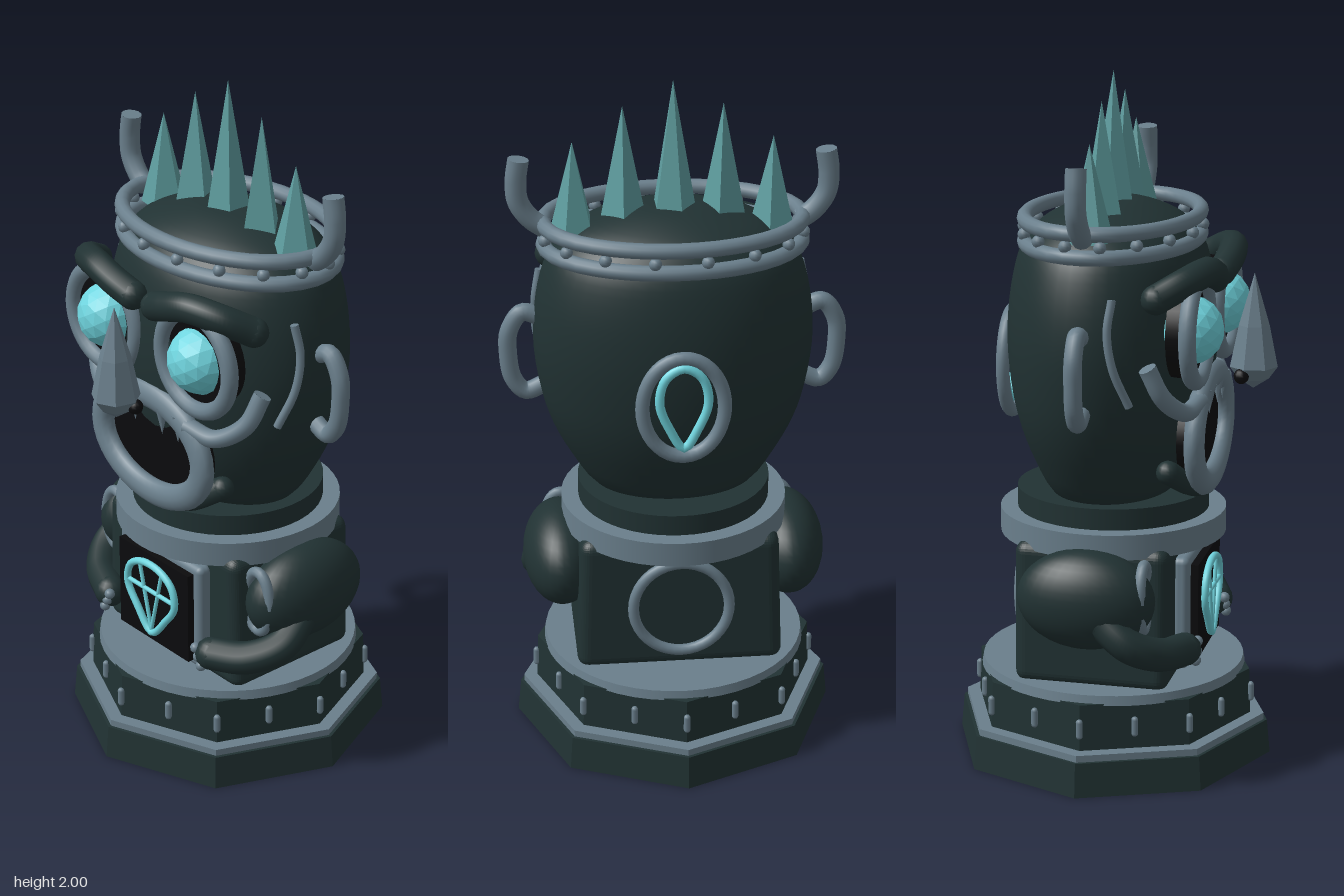
import * as THREE from 'three';
import { RoundedBoxGeometry } from 'three/addons/geometries/RoundedBoxGeometry.js';

const material = (name, color, extra = {}) => Object.assign(new THREE.MeshStandardMaterial({ color, ...extra }), { name });
const V = (p) => new THREE.Vector3(...p);

export function createModel() {
  const root = new THREE.Group();
  root.name = 'totemStatue';
  const dark = material('dark stone', 0x213233);
  const metal = material('slate metal', 0x6a7f8c);
  const glow = material('cyan glow', 0x6fd4de);
  const crystal = material('teal crystal', 0x5f9ea0);
  const black = material('black', 0x0b0b0d);

  const add = (name, geo, mat, pos = [0, 0, 0], parent = root) => {
    const mesh = new THREE.Mesh(geo, mat);
    mesh.name = name;
    mesh.position.set(...pos);
    parent.add(mesh);
    return mesh;
  };
  // Faceted geometry with one normal per face
  const facet = (geo) => {
    const g = geo.index ? geo.toNonIndexed() : geo;
    g.computeVertexNormals();
    return g;
  };
  // Round tube through points; open ends are capped by discs
  const tube = (name, pts, r, mat, { closed = false, round = false } = {}) => {
    const group = new THREE.Group();
    group.name = name;
    const curve = new THREE.CatmullRomCurve3(pts.map(V), closed);
    add(name + 'Body', new THREE.TubeGeometry(curve, 40, r, 12, closed), mat, [0, 0, 0], group);
    if (!closed) for (const t of [0, 1]) {
      const p = curve.getPointAt(t);
      if (round) add(name + 'End', new THREE.SphereGeometry(r, 16, 10), mat, p.toArray(), group);
      else {
        const cap = add(name + 'Cap', new THREE.CircleGeometry(r, 12), mat, p.toArray(), group);
        const dir = curve.getTangentAt(t).multiplyScalar(t ? 1 : -1);
        cap.quaternion.setFromUnitVectors(new THREE.Vector3(0, 0, 1), dir);
      }
    }
    root.add(group);
    return group;
  };
  // Elliptical ring in the XY plane, with a round section
  const ring = (name, c, rx, ry, r, mat) => {
    const pts = [];
    for (let i = 0; i < 20; i++) {
      const a = i / 20 * Math.PI * 2;
      pts.push([c[0] + rx * Math.cos(a), c[1] + ry * Math.sin(a), c[2]]);
    }
    return tube(name, pts, r, mat, { closed: true });
  };

  // Stepped octagonal pedestal with a round top trim
  const tier = (name, rTop, rBottom, y0, y1, mat, sides = 8) =>
    add(name, sides < 12 ? facet(new THREE.CylinderGeometry(rTop, rBottom, y1 - y0, sides)) :
      new THREE.CylinderGeometry(rTop, rBottom, y1 - y0, sides), mat, [0, (y0 + y1) / 2, 0]);
  tier('baseLower', 0.465, 0.475, 0, 0.1, dark);
  tier('baseLowerTrim', 0.455, 0.455, 0.1, 0.12, metal);
  tier('baseUpper', 0.41, 0.415, 0.12, 0.255, dark);
  tier('baseTopTrim', 0.385, 0.39, 0.25, 0.278, metal, 48);
  for (let i = 0; i < 16; i++) {
    const a = i / 16 * Math.PI * 2;
    const r = i % 2 ? 0.385 : 0.415;
    add('baseStud', new THREE.CapsuleGeometry(0.01, 0.04, 4, 8), metal, [Math.sin(a) * r, 0.185, Math.cos(a) * r]);
  }

  // Torso, widening a little at the bottom
  const torso = new RoundedBoxGeometry(0.58, 0.42, 0.45, 4, 0.035);
  const tp = torso.attributes.position;
  for (let i = 0; i < tp.count; i++) {
    const k = 1.02 - tp.getY(i) * 0.12;
    tp.setX(i, tp.getX(i) * k);
  }
  torso.computeVertexNormals();
  add('torso', torso, dark, [0, 0.475, 0]);
  tier('collar', 0.33, 0.33, 0.662, 0.735, metal, 48);
  tier('neck', 0.28, 0.28, 0.73, 0.797, dark, 48);

  // Chest panel with a glowing shield ornament
  add('chestFrame', new RoundedBoxGeometry(0.37, 0.335, 0.05, 3, 0.02), metal, [0, 0.47, 0.24]);
  add('chestScreen', new THREE.BoxGeometry(0.315, 0.285, 0.03), black, [0, 0.47, 0.272]);
  const z = 0.297;
  tube('shieldOutline', [[0, 0.36, z], [0.065, 0.425, z], [0.108, 0.49, z], [0.095, 0.55, z], [0.05, 0.58, z], [0, 0.588, z],
    [-0.05, 0.58, z], [-0.095, 0.55, z], [-0.108, 0.49, z], [-0.065, 0.425, z]], 0.011, glow, { closed: true });
  tube('shieldBar', [[-0.1, 0.5, z], [0.1, 0.5, z]], 0.007, glow);
  for (const s of [-1, 1]) tube('shieldRib', [[s * 0.05, 0.575, z], [0, 0.37, z]], 0.006, glow);
  ring('torsoBackRing', [0, 0.48, -0.25], 0.14, 0.145, 0.016, metal);

  // Egg-shaped head, shallower from front to back
  const profile = [[0, 0.76], [0.4, 0.77], [0.6, 0.8], [0.77, 0.9], [0.89, 1.0], [0.96, 1.1], [1, 1.23], [0.985, 1.35],
    [0.93, 1.45], [0.85, 1.52], [0.7, 1.575], [0.5, 1.61], [0.25, 1.635], [0, 1.64]];
  const spline = new THREE.SplineCurve(profile.map(([r, y]) => new THREE.Vector2(r * 0.4, y)));
  const headPts = spline.getPoints(40);
  headPts.forEach((p) => { p.x = Math.max(0, p.x); });
  const head = new THREE.LatheGeometry(headPts, 48);
  head.scale(1, 1, 0.74);
  add('head', head, dark);

  // Crown: two rings, beads between them, and five crystal spikes
  for (const y of [1.53, 1.595]) {
    const r = ring('crownRing', [0, 0, 0], 0.365, 0.243, 0.022, metal);
    r.rotation.x = Math.PI / 2;
    r.position.y = y;
  }
  for (let i = 0; i < 16; i++) {
    const a = (i + 0.5) / 16 * Math.PI * 2;
    add('crownBead', new THREE.SphereGeometry(0.018, 10, 8), metal, [Math.cos(a) * 0.37, 1.56, Math.sin(a) * 0.25]);
  }
  const tips = [1.83, 1.93, 2.0, 1.93, 1.83];
  tips.forEach((tip, i) => {
    const base = 1.6 - Math.abs(i - 2) * 0.02;
    const spike = add('crownSpike', facet(new THREE.ConeGeometry(0.068, tip - base, i % 2 ? 4 : 5)), crystal,
      [(i - 2) * 0.14, (tip + base) / 2, 0]);
    spike.rotation.y = 0.4 + i * 0.9;
  });

  // Nose: faceted cone with a blunt point below
  add('nose', facet(new THREE.LatheGeometry([[0, 1.105], [0.045, 1.135], [0.07, 1.17], [0.045, 1.29], [0, 1.44]]
    .map((p) => new THREE.Vector2(...p)), 7)), metal, [0, 0, 0.41]);

  // Mouth: dark opening, thick lip, teeth and chin roll
  const mouth = new THREE.CylinderGeometry(1, 1, 1, 40);
  mouth.rotateX(Math.PI / 2);
  mouth.scale(0.215, 0.155, 0.04);
  add('mouthOpening', mouth, black, [0, 0.98, 0.252]);
  const lip = ring('lips', [0, 0, 0], 0.222, 0.152, 0.04, metal);
  lip.scale.z = 0.75;
  lip.position.set(0, 0.983, 0.285);
  for (const x of [-0.13, -0.06, 0.06, 0.13]) {
    const tooth = add('tooth', new THREE.ConeGeometry(0.02, 0.085, 8), metal, [x, 1.08, 0.295]);
    tooth.rotation.x = Math.PI;
  }
  tube('chinRoll', [[-0.22, 0.9, 0.21], [-0.13, 0.845, 0.26], [0, 0.825, 0.275], [0.13, 0.845, 0.26], [0.22, 0.9, 0.21]],
    0.034, dark, { round: true });

  // Ornament on the back of the head
  ring('backRing', [0, 1.15, -0.3], 0.115, 0.15, 0.02, metal);
  const b = -0.312;
  tube('backTeardrop', [[0, 1.03, b], [0.04, 1.09, b], [0.068, 1.17, b], [0.05, 1.245, b], [0, 1.275, b],
    [-0.05, 1.245, b], [-0.068, 1.17, b], [-0.04, 1.09, b]], 0.013, glow, { closed: true });

  // Mirrored parts
  for (const s of [-1, 1]) {
    const m = (pts) => pts.map(([x, y, zz]) => [s * x, y, zz]);

    // Eyes with goggle rims and heavy brows
    const socket = add('eyeSocket', new THREE.CylinderGeometry(0.135, 0.135, 0.06, 32), black, [s * 0.2, 1.31, 0.255]);
    socket.rotation.x = Math.PI / 2;
    ring('eyeRim', [s * 0.2, 1.31, 0.288], 0.143, 0.143, 0.025, metal);
    add('eye', facet(new THREE.IcosahedronGeometry(0.098, 2)), glow, [s * 0.2, 1.31, 0.265]);
    tube('brow', m([[0.34, 1.42, 0.2], [0.29, 1.46, 0.27], [0.2, 1.475, 0.31], [0.12, 1.455, 0.315], [0.05, 1.43, 0.305]]),
      0.042, dark, { round: true });
    add('nostril', new THREE.SphereGeometry(0.022, 12, 8), black, [s * 0.055, 1.15, 0.385]);

    // Cheek tubes and temple seams
    tube('cheekTube', m([[0.355, 1.23, 0.18], [0.33, 1.14, 0.22], [0.25, 1.085, 0.265], [0.16, 1.1, 0.29]]), 0.026, metal);
    tube('templeSeam', m([[0.375, 1.42, 0.085], [0.39, 1.33, 0.075], [0.388, 1.23, 0.09], [0.36, 1.12, 0.13]]), 0.012, metal);

    // Ear loops and crown horns
    tube('ear', m([[0.38, 1.31, 0], [0.43, 1.325, 0], [0.468, 1.27, 0], [0.473, 1.2, 0], [0.46, 1.12, 0], [0.425, 1.08, 0],
      [0.37, 1.1, 0]]), 0.026, metal);
    tube('crownHorn', m([[0.36, 1.58, 0], [0.4, 1.61, 0], [0.432, 1.66, 0], [0.437, 1.72, 0], [0.428, 1.785, 0]]), 0.03, metal);

    // Shoulders, forearms resting beside the panel, and knuckles
    const shoulder = new THREE.SphereGeometry(1, 32, 20);
    shoulder.scale(0.112, 0.145, 0.2);
    add('upperArm', shoulder, dark, [s * 0.335, 0.548, 0]);
    ring('shoulderRing', [s * 0.325, 0.56, 0.165], 0.05, 0.095, 0.016, metal);
    tube('forearm', m([[0.39, 0.5, 0.06], [0.4, 0.44, 0.14], [0.34, 0.4, 0.215], [0.235, 0.385, 0.265]]), 0.048, dark, { round: true });
    for (let i = 0; i < 3; i++)
      add('knuckle', new THREE.SphereGeometry(0.016, 10, 8), metal, [s * (0.2 + i * 0.012), 0.4 - i * 0.025, 0.295]);
  }
  return root;
}
